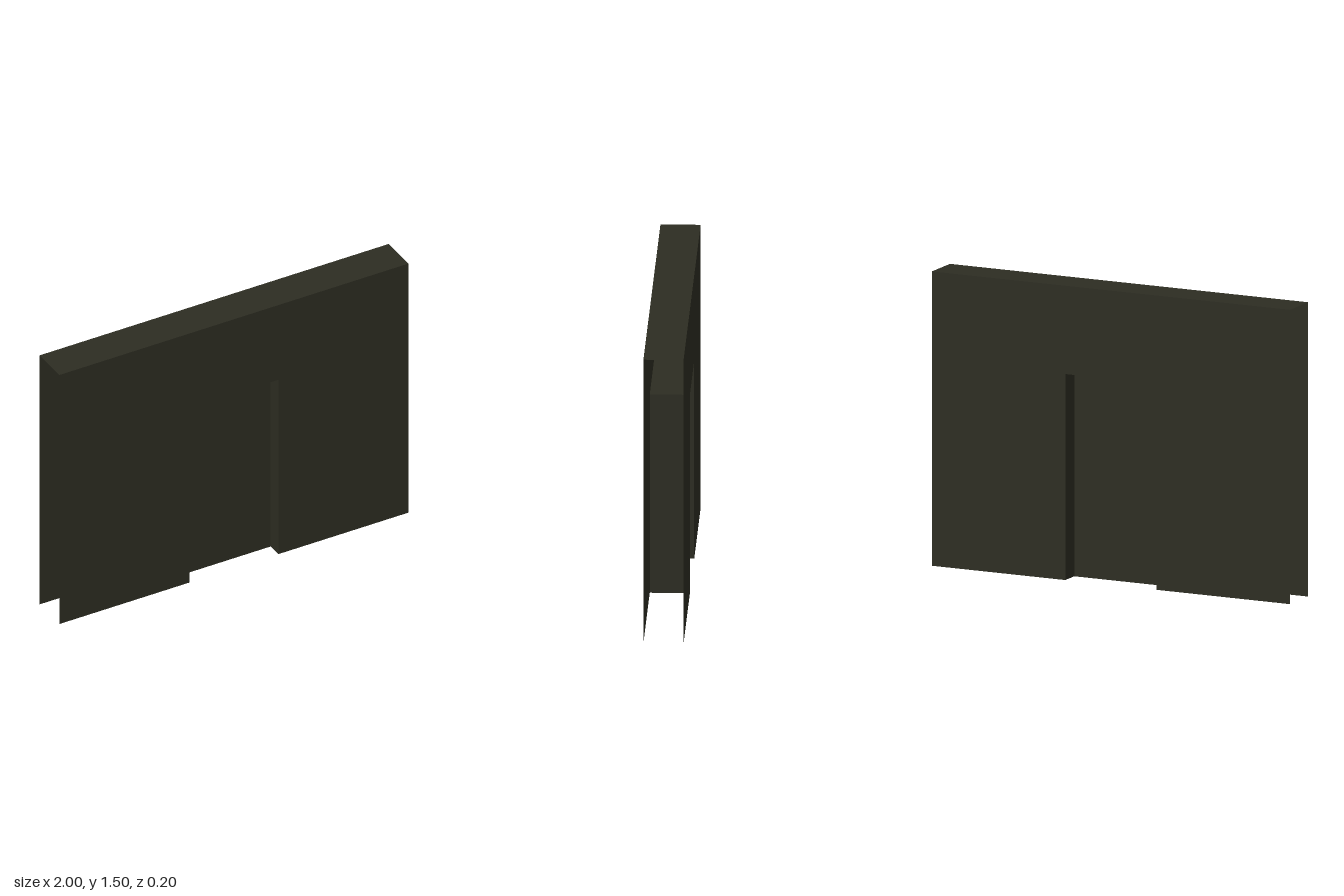
import * as THREE from 'three';

const W = 2, H = 1.5, D = 0.2;      // wall width, height, depth
const DOOR_W = 0.51, DOOR_H = 1.05; // doorway opening

export function createModel() {
  const model = new THREE.Group();
  model.name = 'doorwayWall';
  const darkOlive = new THREE.MeshStandardMaterial({ color: 0x2d2d22, side: THREE.DoubleSide });
  darkOlive.name = 'dark olive';

  const add = (name, geometry, x, y, z, rx = 0, ry = 0) => {
    const mesh = new THREE.Mesh(geometry, darkOlive);
    mesh.name = name;
    mesh.position.set(x, y, z);
    mesh.rotation.set(rx, ry, 0);
    model.add(mesh);
  };

  // Wall faces, notched around the doorway
  const d = DOOR_W / 2, w = W / 2;
  const outline = new THREE.Shape([
    [-w, 0], [-d, 0], [-d, DOOR_H], [d, DOOR_H], [d, 0], [w, 0], [w, H], [-w, H],
  ].map(([x, y]) => new THREE.Vector2(x, y)));
  const face = new THREE.ShapeGeometry(outline);
  add('frontFace', face, 0, 0, D / 2);
  add('backFace', face, 0, 0, -D / 2, 0, Math.PI);

  // Top cap; the ends and underside of the wall stay open
  add('topCap', new THREE.PlaneGeometry(W, D), 0, H, 0, -Math.PI / 2);

  // Doorway lining
  add('doorwaySoffit', new THREE.PlaneGeometry(DOOR_W, D), 0, DOOR_H, 0, Math.PI / 2);
  for (const [name, s] of [['leftJamb', 1], ['rightJamb', -1]]) {
    add(name, new THREE.PlaneGeometry(D, DOOR_H), s * d, DOOR_H / 2, 0, 0, -s * Math.PI / 2);
  }

  // Recessed door panel
  const t = 0.022;
  add('door', new THREE.BoxGeometry(DOOR_W - 0.002, DOOR_H - 0.002, t), 0, (DOOR_H - 0.002) / 2, t / 2);

  return model;
}
